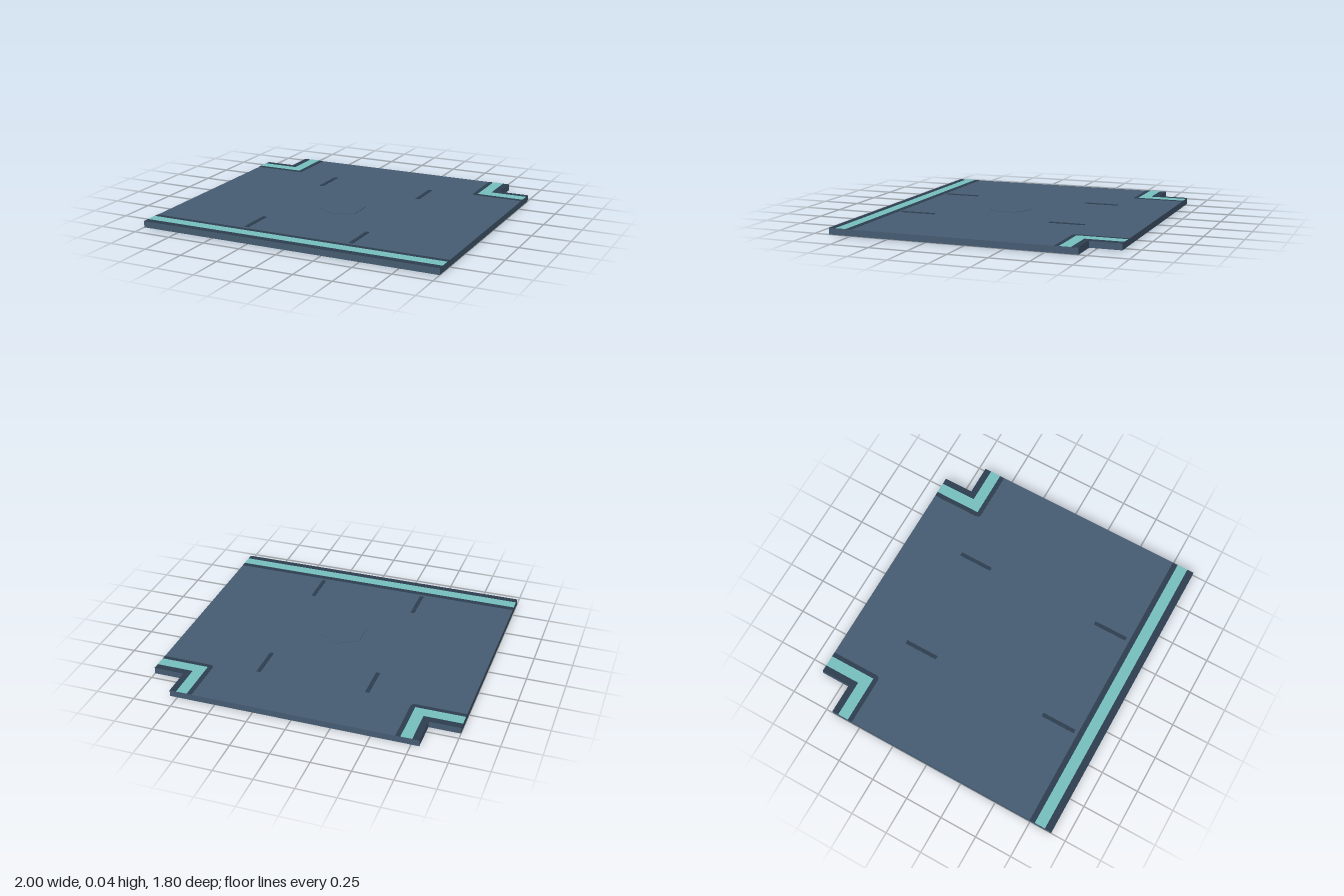
import * as THREE from 'three';

const slate = new THREE.MeshStandardMaterial({ name: 'slate', color: 0x465c72 });
const darkSlate = new THREE.MeshStandardMaterial({ name: 'dark slate', color: 0x2d3e50 });
const teal = new THREE.MeshStandardMaterial({ name: 'teal', color: 0x76c0c0 });

const TOP = 0.041; // upper surface of the slab

// Horizontal plate from an outline in (x, z), between heights y0 and y1
function plate(name, shape, y0, y1, material) {
  const geo = new THREE.ExtrudeGeometry(shape, { depth: y1 - y0, bevelEnabled: false, curveSegments: 5 });
  geo.rotateX(-Math.PI / 2);
  const mesh = new THREE.Mesh(geo, material);
  mesh.name = name;
  mesh.position.y = y0;
  return mesh;
}

// Shape y is -z once the plate lies flat
const outline = (points) => new THREE.Shape(points.map(([x, z]) => new THREE.Vector2(x, -z)));
const rect = (x0, x1, z0, z1) => outline([[x0, z0], [x0, z1], [x1, z1], [x1, z0]]);

// L-shaped band around a back corner; a and b are distances in from the notch edge
function cornerBand(side, a, b, radius = 0) {
  const s = new THREE.Shape();
  const xi = 0.8 - b, zi = 0.7 - b;
  s.moveTo(side * (0.8 - a), 0.9);
  s.lineTo(side * xi, 0.9);
  s.lineTo(side * xi, zi + radius);
  if (radius) s.quadraticCurveTo(side * xi, zi, side * (xi + radius), zi);
  else s.lineTo(side * xi, zi);
  s.lineTo(side, zi);
  s.lineTo(side, 0.7 - a);
  s.lineTo(side * (0.8 - a), 0.7 - a);
  return s;
}

export function createModel() {
  const model = new THREE.Group();
  model.name = 'roadTile';

  // Slab with a square notch in each back corner
  model.add(plate('slab', outline([
    [-1, 0.9], [1, 0.9], [1, -0.7], [0.8, -0.7], [0.8, -0.9],
    [-0.8, -0.9], [-0.8, -0.7], [-1, -0.7],
  ]), 0, TOP, slate));

  // Straight border along the front
  model.add(plate('frontBorder', rect(-1, 1, 0.747, 0.9), TOP, TOP + 0.001, darkSlate));
  model.add(plate('frontStripe', rect(-1, 1, 0.783, 0.855), TOP, TOP + 0.002, teal));

  for (const side of [-1, 1]) {
    const label = side > 0 ? 'left' : 'right';

    // Border and stripe turning round the notch
    model.add(plate(label + 'CornerBorder', cornerBand(side, 0, 0.147, 0.03), TOP, TOP + 0.001, darkSlate));
    model.add(plate(label + 'CornerStripe', cornerBand(side, 0.044, 0.116), TOP, TOP + 0.002, teal));

    // Short floor marks, front and back
    for (const [end, z0, z1] of [['Front', 0.49, 0.722], ['Back', -0.527, -0.298]]) {
      model.add(plate(label + end + 'Mark',
        rect(side * 0.36 - 0.0125, side * 0.36 + 0.0125, z0, z1), TOP, TOP + 0.003, darkSlate));
    }
  }

  // Low hexagonal pad in the middle
  const pad = new THREE.Mesh(new THREE.CylinderGeometry(0.15, 0.15, 0.003, 6).toNonIndexed(), slate);
  pad.name = 'hexagonPad';
  pad.geometry.computeVertexNormals();
  pad.position.set(0, TOP + 0.0015, 0.1);
  model.add(pad);

  return model;
}
